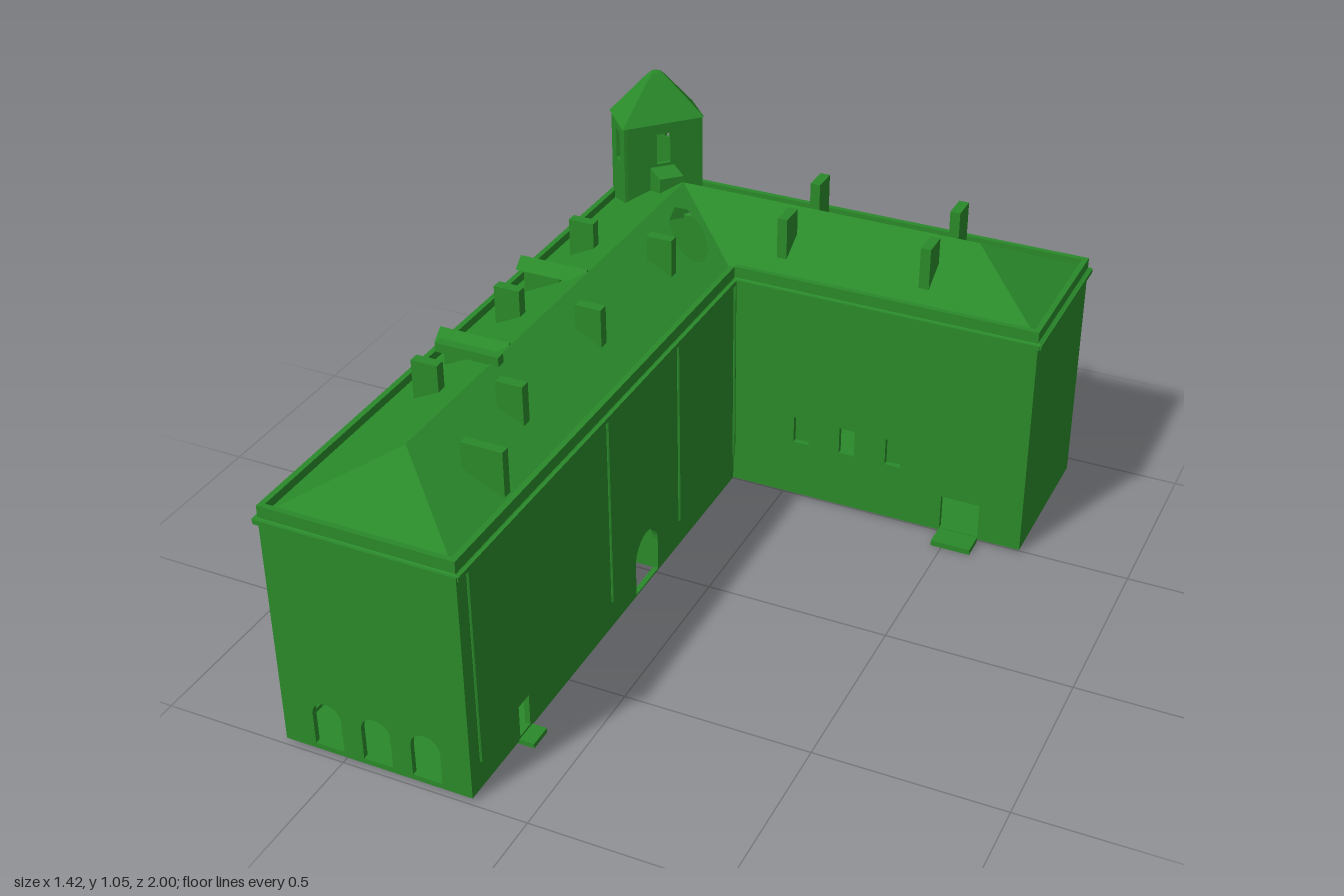
import * as THREE from 'three';

const GREEN = 0x2a8a2a;
const mat = new THREE.MeshStandardMaterial({ color: GREEN, flatShading: true, side: THREE.DoubleSide });

function add(parent, name, geo, x = 0, y = 0, z = 0) {
  const m = new THREE.Mesh(geo, mat);
  m.name = name;
  m.position.set(x, y, z);
  parent.add(m);
  return m;
}
// box given by its minimum and maximum corners
function slab(parent, name, x0, x1, y0, y1, z0, z1) {
  return add(parent, name, new THREE.BoxGeometry(x1 - x0, y1 - y0, z1 - z0),
    (x0 + x1) / 2, (y0 + y1) / 2, (z0 + z1) / 2);
}
// openings: c = position along the wall
function opening({ c, w, y0, y1, arch }) {
  const p = new THREE.Path(), r = w / 2;
  p.moveTo(c - r, y0);
  p.lineTo(c + r, y0);
  if (arch) {
    p.lineTo(c + r, y1 - r);
    p.absarc(c, y1 - r, r, 0, Math.PI, false);
  } else {
    p.lineTo(c + r, y1);
    p.lineTo(c - r, y1);
  }
  p.lineTo(c - r, y0);
  return p;
}
const arch = (c, w = 0.08, y0 = 0.025, y1 = 0.155) => ({ c, w, y0, y1, arch: true });
const rect = (c, w, y0, y1) => ({ c, w, y0, y1 });

// thin wall from p to q (x, z pairs) with openings, outside on the right-hand side
function wall(parent, name, p, q, y0, y1, holes = [], t = 0.015) {
  const dx = q[0] - p[0], dz = q[1] - p[1], len = Math.hypot(dx, dz);
  const s = new THREE.Shape([[0, y0], [len, y0], [len, y1], [0, y1]].map(a => new THREE.Vector2(...a)));
  s.holes = holes.map(opening);
  const g = new THREE.ExtrudeGeometry(s, { depth: t, bevelEnabled: false, curveSegments: 8 });
  g.translate(0, 0, -t);
  add(parent, name, g, p[0], 0, p[1]).rotation.y = Math.atan2(-dz, dx);
}
// sloping roof face: plan outline lifted by a height rule
function roofFace(parent, name, pts, height, hole) {
  const v = a => a.map(([x, z]) => new THREE.Vector2(x, -z));
  const s = new THREE.Shape(v(pts));
  if (hole) s.holes.push(new THREE.Path(v(hole)));
  const g = new THREE.ShapeGeometry(s), pos = g.attributes.position;
  for (let i = 0; i < pos.count; i++) {
    const x = pos.getX(i), z = -pos.getY(i);
    pos.setXYZ(i, x, height(x, z), z);
  }
  g.computeVertexNormals();
  add(parent, name, g);
}
// roof made of scaled copies of an outline
function loftRoof(parent, name, outline, cx, cz, rings) {
  const v = [], n = outline.length;
  const at = (i, [s, y]) => [cx + (outline[i % n][0] - cx) * s, y, cz + (outline[i % n][1] - cz) * s];
  for (let r = 0; r + 1 < rings.length; r++) for (let i = 0; i < n; i++) {
    const a = at(i, rings[r]), b = at(i + 1, rings[r]), c = at(i + 1, rings[r + 1]), d = at(i, rings[r + 1]);
    v.push(...a, ...b, ...c, ...a, ...c, ...d);
  }
  const g = new THREE.BufferGeometry();
  g.setAttribute('position', new THREE.Float32BufferAttribute(v, 3));
  g.computeVertexNormals();
  add(parent, name, g);
}

export function createModel() {
  const root = new THREE.Group();
  root.name = 'building';

  // outer walls
  const walls = new THREE.Group();
  walls.name = 'walls';
  root.add(walls);
  const A = [-0.665, 0.99], B = [-0.15, 0.99], C = [-0.15, -0.49], D = [0.7, -0.49];
  const E = [0.7, -0.935], F = [-0.6, -0.935], G = [-0.665, -0.86];
  const lo = 0.01, hi = 0.69;
  const windowsX = [0.055, 0.19, 0.325];
  wall(walls, 'southWall', A, B, lo, hi, [-0.54, -0.405, -0.27].map(x => arch(x - A[0])));
  wall(walls, 'courtyardWestWall', B, C, lo, hi,
    [arch(B[1] - 0.065, 0.13, 0.015, 0.175), rect(B[1] - 0.735, 0.05, 0.02, 0.11)]);
  wall(walls, 'courtyardNorthWall', C, D, lo, hi,
    [...windowsX.map(x => rect(x - C[0], 0.045, 0.18, 0.26)), rect(0.525 - C[0], 0.11, 0.018, 0.12)]);
  wall(walls, 'eastWall', D, E, lo, hi);
  const northArches = [0, 1, 2, 3, 4, 5, 6].map(i => arch(E[0] - (0.325 - 0.135 * i)));
  wall(walls, 'northWall', E, F, lo, hi, [...northArches,
    ...windowsX.map(x => rect(E[0] - x, 0.045, 0.18, 0.26)),
    rect(E[0] - 0.525, 0.11, 0.018, 0.12), rect(E[0] + 0.5, 0.045, 0.57, 0.63)]);
  wall(walls, 'cornerWall', F, G, lo, hi, [arch(0.05, 0.06), rect(0.05, 0.04, 0.57, 0.63)]);
  const westArches = [-0.77, -0.67, -0.53, -0.4, -0.265, -0.13, 0.27, 0.405, 0.54, 0.87];
  wall(walls, 'westWall', G, A, lo, hi, [...westArches.map(z => arch(z - G[1])),
    arch(0.065 - G[1], 0.13, 0.015, 0.175), rect(0.735 - G[1], 0.05, 0.02, 0.11),
    rect(-0.77 - G[1], 0.045, 0.57, 0.63)]);

  // cornice band
  const loop = [A, B, C, D, E, F, G];
  loop.forEach((p, i) => {
    const q = loop[(i + 1) % loop.length];
    const l = Math.hypot(q[0] - p[0], q[1] - p[1]);
    const m = add(walls, 'cornice', new THREE.BoxGeometry(l + 0.015, 0.012, 0.022),
      (p[0] + q[0]) / 2, 0.65, (p[1] + q[1]) / 2);
    m.rotation.y = Math.atan2(p[1] - q[1], q[0] - p[0]);
  });

  // inner partitions, window backs and floors
  for (const z of [-0.01, 0.14]) slab(root, 'passageWall', -0.65, -0.165, 0.01, 0.64, z - 0.005, z + 0.005);
  slab(root, 'partition', -0.005, 0.005, 0.01, 0.64, -0.92, -0.505);
  for (const x of [0.055, 0.325]) slab(root, 'windowBack', x - 0.04, x + 0.04, 0.16, 0.28, -0.53, -0.525);
  slab(root, 'floor', 0, 0.69, 0.005, 0.014, -0.925, -0.5);
  slab(root, 'floor', -0.655, -0.16, 0.005, 0.014, 0.1, 0.42);
  slab(root, 'floor', -0.655, -0.16, 0.005, 0.014, 0.58, 0.98);

  // hipped roof
  const roof = new THREE.Group();
  roof.name = 'roof';
  root.add(roof);
  const y0 = 0.655, rise = 0.135, top = [-0.405, -0.71];
  const west = x => y0 + rise * (x + 0.675) / 0.27, north = z => y0 + rise * (z + 0.945) / 0.235;
  const inner = [-0.145, -0.485], hipS = [-0.405, 0.76], hipE = [0.46, -0.71], nw = [-0.635, -0.91];
  roofFace(roof, 'westSlope', [[-0.675, 0.995], hipS, top, nw, [-0.675, -0.865]], x => west(x));
  roofFace(roof, 'northSlope', [top, hipE, [0.71, -0.945], [-0.605, -0.945], nw], (x, z) => north(z));
  roofFace(roof, 'courtyardWestSlope', [[-0.145, 0.995], inner, top, hipS],
    x => y0 + rise * (-0.145 - x) / 0.26,
    [[-0.375, -0.59], [-0.35, -0.615], [-0.29, -0.585], [-0.24, -0.52], [-0.23, -0.46],
      [-0.25, -0.435], [-0.305, -0.45], [-0.36, -0.52]]);
  roofFace(roof, 'courtyardNorthSlope', [inner, [0.71, -0.485], hipE, top],
    (x, z) => y0 + rise * (-0.485 - z) / 0.225);
  roofFace(roof, 'southHip', [[-0.675, 0.995], [-0.145, 0.995], hipS], (x, z) => y0 + rise * (0.995 - z) / 0.235);
  roofFace(roof, 'eastHip', [[0.71, -0.485], [0.71, -0.945], hipE], x => y0 + rise * (0.71 - x) / 0.25);

  // chimneys
  for (const z of [-0.34, 0.065, 0.465]) for (const x of [-0.525, -0.295])
    slab(roof, 'chimney', x - 0.036, x + 0.036, 0.7, 0.82, z - 0.014, z + 0.014);
  for (const x of [-0.045, 0.36]) for (const z of [-0.83, -0.6])
    slab(roof, 'chimney', x - 0.014, x + 0.014, 0.7, 0.82, z - 0.036, z + 0.036);
  slab(roof, 'thinChimney', -0.29, -0.18, 0.68, 0.8, 0.69, 0.715);
  slab(roof, 'ridgeBeam', -0.56, -0.385, 0.785, 0.81, 0.345, 0.37);

  // dormers with small gabled roofs
  for (const z of [-0.14, 0.27]) {
    slab(roof, 'dormer', -0.585, -0.48, 0.69, 0.768, z - 0.024, z + 0.024);
    const gable = new THREE.Shape([[-0.031, 0.765], [0.031, 0.765], [0, 0.793]].map(a => new THREE.Vector2(...a)));
    const g = new THREE.ExtrudeGeometry(gable, { depth: 0.195, bevelEnabled: false });
    add(roof, 'dormerRoof', g, -0.605, 0, z).rotation.y = Math.PI / 2;
  }

  // corner tower
  const tower = new THREE.Group();
  tower.name = 'tower';
  root.add(tower);
  const T = [[-0.57, -0.675], [-0.41, -0.845], [-0.485, -0.93], [-0.6, -0.93], [-0.662, -0.86], [-0.662, -0.78]];
  T.forEach((p, i) => {
    const q = T[(i + 1) % T.length], l = Math.hypot(q[0] - p[0], q[1] - p[1]);
    wall(tower, 'towerWall', p, q, 0.64, 0.935, [rect(l / 2, 0.04, 0.81, 0.9)], 0.01);
  });
  loftRoof(tower, 'towerRoof', T, -0.55, -0.84, [[0, 0.932], [1.04, 0.932], [0.24, 1.033], [0.12, 1.045], [0, 1.047]]);
  add(tower, 'towerPorch', new THREE.BoxGeometry(0.07, 0.13, 0.08), -0.462, 0.74, -0.722).rotation.y = Math.PI / 4;

  // doorsteps and door jambs
  slab(root, 'doorstep', 0.47, 0.58, 0, 0.016, -0.49, -0.425);
  slab(root, 'doorstep', 0.47, 0.58, 0, 0.016, -1, -0.935);
  slab(root, 'doorstep', -0.165, -0.11, 0, 0.014, 0.7, 0.765);
  for (const z of [-0.605, 0.735]) {
    slab(root, 'doorstep', -0.71, -0.66, 0, 0.014, z - 0.032, z + 0.032);
    for (const s of [-1, 1])
      slab(root, 'doorJamb', -0.688, -0.66, 0.01, 0.105, z + s * 0.029 - 0.003, z + s * 0.029 + 0.003);
  }

  // downpipes
  const pipes = [[-0.147, 0.945], [-0.147, 0.27], [-0.147, -0.13], [-0.147, -0.486], [0.67, -0.938], [0.39, -0.938], [-0.668, 0.2]];
  for (const [x, z] of pipes) add(root, 'downpipe', new THREE.CylinderGeometry(0.004, 0.004, 0.55, 6), x, 0.365, z);

  return root;
}
